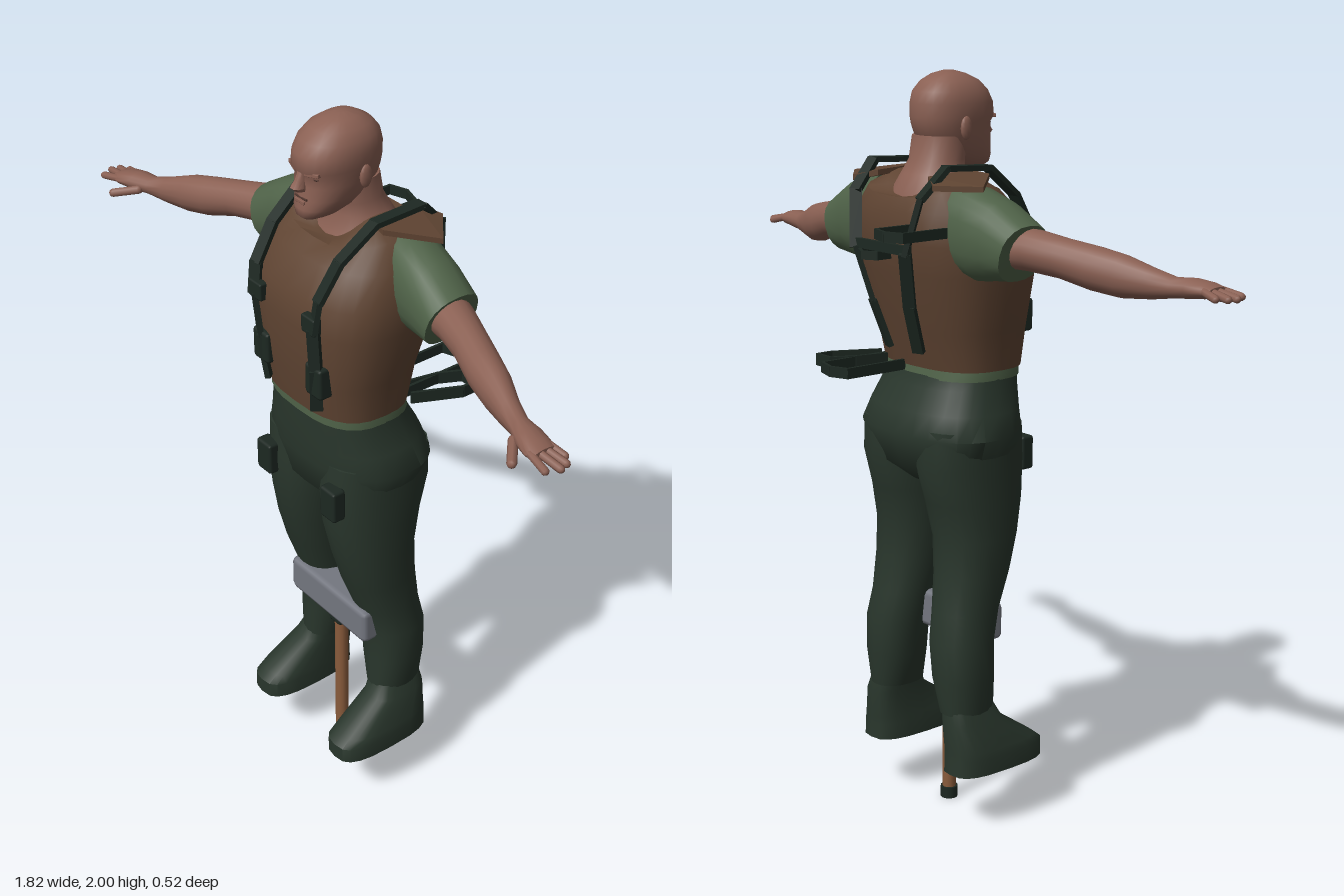
import * as THREE from 'three';
import { toCreasedNormals } from 'three/addons/utils/BufferGeometryUtils.js';
import { RoundedBoxGeometry } from 'three/addons/geometries/RoundedBoxGeometry.js';
import { ConvexGeometry } from 'three/addons/geometries/ConvexGeometry.js';

const material = (name, color) => {
  const m = new THREE.MeshStandardMaterial({ color });
  m.name = name;
  return m;
};

// Skins rings [t, a0, a1, b0, b1, shift]. Axis 'y': t=y, a=x, b=z. Axis 'x': t=x, a=z, b=y.
// shift lowers front and back of a 'y' ring, or slants an 'x' ring.
function loft(rings, { axis = 'y', side = 1, power = 2.3, segs = 20, crease = 0.8 } = {}) {
  const pos = [], index = [];
  const tri = (a, b, c) => (side > 0 ? index.push(a, b, c) : index.push(a, c, b));
  const put = (t, a, b) => (axis === 'y' ? pos.push(a * side, t, b) : pos.push(t * side, b, a));
  const round = (v) => Math.sign(v) * Math.pow(Math.abs(v), 2 / power);
  for (const [t, a0, a1, b0, b1, shift = 0] of rings) {
    for (let j = 0; j < segs; j++) {
      const th = (j / segs) * Math.PI * 2, c = Math.cos(th), s = Math.sin(th);
      const move = axis === 'y' ? -shift * s * s : shift * s;
      put(t + move, (a0 + a1) / 2 + ((a1 - a0) / 2) * round(c), (b0 + b1) / 2 + ((b1 - b0) / 2) * round(s));
    }
  }
  const last = rings.length - 1;
  for (let i = 0; i < last; i++) {
    for (let j = 0; j < segs; j++) {
      const a = i * segs + j, b = i * segs + ((j + 1) % segs);
      tri(a, a + segs, b);
      tri(b, a + segs, b + segs);
    }
  }
  for (const i of [0, last]) {
    const [t, a0, a1, b0, b1, shift = 0] = rings[i];
    put(axis === 'y' ? t - shift / 2 : t, (a0 + a1) / 2, (b0 + b1) / 2);
    const mid = pos.length / 3 - 1;
    for (let j = 0; j < segs; j++) {
      const a = i * segs + j, b = i * segs + ((j + 1) % segs);
      if (i === 0) tri(mid, a, b); else tri(mid, b, a);
    }
  }
  const geo = new THREE.BufferGeometry();
  geo.setAttribute('position', new THREE.Float32BufferAttribute(pos, 3));
  geo.setIndex(index);
  return toCreasedNormals(geo, crease);
}

export function createModel() {
  const root = new THREE.Group();
  root.name = 'workman';
  const skin = material('skin', 0x8a6053);
  const face = material('face shadow', 0x523830);
  const leather = material('brown vest', 0x5f4432);
  const shirt = material('green shirt', 0x4f6248);
  const cloth = material('dark green trousers', 0x29362c);
  const web = material('webbing', 0x1d2822);
  const steel = material('steel', 0x747780);
  const wood = material('wood', 0x8a5c3c);

  const add = (name, geo, mat, p = [0, 0, 0], parent = root) => {
    const m = new THREE.Mesh(geo, mat);
    m.name = name;
    m.position.set(...p);
    parent.add(m);
    return m;
  };
  const box = (w, h, d) => new RoundedBoxGeometry(w, h, d, 1, Math.min(w, h, d) * 0.2);

  // Flat bars joined along a list of points
  const strap = (name, pts, w, t) => {
    const group = new THREE.Group();
    group.name = name;
    root.add(group);
    pts.slice(1).forEach((p, i) => {
      const a = new THREE.Vector3(...pts[i]), b = new THREE.Vector3(...p);
      const m = add('strapPiece', new THREE.BoxGeometry(w, t, a.distanceTo(b) + 0.006), web,
        a.clone().add(b).multiplyScalar(0.5).toArray(), group);
      m.lookAt(b);
    });
  };

  // Tapered finger between two points
  const rod = (name, a, b, r) => {
    const A = new THREE.Vector3(...a), B = new THREE.Vector3(...b);
    const m = add(name, new THREE.CapsuleGeometry(r, A.distanceTo(B), 3, 8), skin,
      A.clone().add(B).multiplyScalar(0.5).toArray());
    m.quaternion.setFromUnitVectors(new THREE.Vector3(0, 1, 0), B.sub(A).normalize());
  };

  // Vest, belt and hips
  add('vest', loft([
    [1.25, -0.195, 0.195, -0.05, 0.222], [1.35, -0.203, 0.203, -0.075, 0.238],
    [1.5, -0.236, 0.236, -0.115, 0.25], [1.58, -0.235, 0.235, -0.128, 0.242],
    [1.66, -0.215, 0.215, -0.13, 0.195], [1.72, -0.175, 0.175, -0.115, 0.155, 0.025],
    [1.755, -0.11, 0.11, -0.085, 0.125, 0.065],
  ], { power: 2.7, segs: 28 }), leather);
  add('belt', loft([[1.225, -0.192, 0.192, -0.052, 0.217], [1.252, -0.19, 0.19, -0.048, 0.217]],
    { power: 2.7, segs: 28 }), shirt);
  add('hips', loft([
    [0.94, -0.06, 0.06, -0.03, 0.14], [0.99, -0.2, 0.2, -0.09, 0.195], [1.08, -0.238, 0.238, -0.114, 0.21],
    [1.14, -0.215, 0.215, -0.095, 0.214], [1.2, -0.196, 0.196, -0.062, 0.216], [1.232, -0.191, 0.191, -0.052, 0.216],
  ], { power: 2.5, segs: 28 }), cloth);

  // Neck and head
  add('neck', loft([
    [1.64, -0.13, 0.13, -0.09, 0.14], [1.7, -0.11, 0.11, -0.08, 0.115], [1.745, -0.085, 0.085, -0.055, 0.095],
    [1.78, -0.072, 0.072, -0.035, 0.1], [1.84, -0.07, 0.07, -0.025, 0.11],
  ]), skin);
  add('head', loft([
    [1.755, -0.022, 0.022, 0.13, 0.185], [1.765, -0.042, 0.042, 0.08, 0.197], [1.785, -0.058, 0.058, 0.035, 0.198],
    [1.81, -0.07, 0.07, 0, 0.192], [1.845, -0.078, 0.078, -0.022, 0.19], [1.868, -0.081, 0.081, -0.03, 0.187],
    [1.885, -0.084, 0.084, -0.033, 0.199], [1.92, -0.085, 0.085, -0.033, 0.194], [1.95, -0.079, 0.079, -0.026, 0.178],
    [1.975, -0.062, 0.062, -0.005, 0.152], [1.992, -0.038, 0.038, 0.025, 0.115], [2, -0.012, 0.012, 0.055, 0.085],
  ], { segs: 24, crease: 1.2 }), skin);
  add('nose', loft([
    [1.832, -0.015, 0.015, 0.17, 0.207], [1.842, -0.018, 0.018, 0.17, 0.217],
    [1.86, -0.011, 0.011, 0.17, 0.205], [1.882, -0.009, 0.009, 0.17, 0.196],
  ], { segs: 10 }), skin);
  add('mouth', box(0.046, 0.006, 0.01), face, [0, 1.812, 0.187]);
  add('lowerLip', box(0.036, 0.009, 0.012), skin, [0, 1.803, 0.19]);

  for (const s of [1, -1]) {
    const side = s > 0 ? 'left' : 'right';

    // Face details
    const eye = add(side + 'Eye', new THREE.SphereGeometry(0.012, 10, 6), face, [s * 0.034, 1.868, 0.172]);
    eye.scale.set(1.1, 0.5, 0.6);
    const brow = add(side + 'Brow', box(0.042, 0.01, 0.018), skin, [s * 0.036, 1.882, 0.18]);
    brow.rotation.set(0, s * 0.3, s * 0.12);
    const ear = add(side + 'Ear', new THREE.SphereGeometry(0.03, 10, 8), skin, [s * 0.083, 1.86, 0.06]);
    ear.scale.set(0.28, 1, 0.6);

    // Arm, sleeve and hand
    add(side + 'Sleeve', loft([
      [0.15, -0.085, 0.075, 1.51, 1.735], [0.22, -0.085, 0.085, 1.495, 1.728, -0.01],
      [0.28, -0.075, 0.09, 1.5, 1.7, 0.01], [0.35, -0.065, 0.093, 1.505, 1.648, 0.025],
    ], { axis: 'x', side: s }), shirt);
    add(side + 'Arm', loft([
      [0.3, -0.04, 0.07, 1.535, 1.64], [0.38, -0.03, 0.082, 1.535, 1.64], [0.46, 0, 0.1, 1.525, 1.625],
      [0.54, 0.028, 0.128, 1.503, 1.612], [0.61, 0.055, 0.143, 1.493, 1.598], [0.68, 0.092, 0.157, 1.497, 1.573],
      [0.735, 0.115, 0.17, 1.505, 1.556], [0.78, 0.12, 0.195, 1.508, 1.558], [0.82, 0.128, 0.207, 1.512, 1.552],
      [0.845, 0.135, 0.205, 1.52, 1.543],
    ], { axis: 'x', side: s, segs: 16, power: 2, crease: 1.2 }), skin);
    [[0.87, 0.133, 0.141], [0.893, 0.15, 0.159], [0.9, 0.173, 0.178], [0.885, 0.205, 0.196]].forEach(([x, z, z0], i) =>
      rod(side + 'Finger' + (i + 1), [s * 0.825, 1.533, z0], [s * x, 1.522, z], 0.01));
    rod(side + 'Thumb', [s * 0.755, 1.522, 0.18], [s * 0.805, 1.508, 0.228], 0.012);

    // Leg and boot
    add(side + 'TrouserLeg', loft([
      [0.325, 0.09, 0.205, -0.062, 0.09], [0.42, 0.065, 0.216, -0.074, 0.09], [0.52, 0.054, 0.215, -0.077, 0.092],
      [0.6, 0.045, 0.207, -0.062, 0.115], [0.7, 0.032, 0.212, -0.05, 0.152], [0.8, 0.02, 0.215, -0.048, 0.18],
      [0.9, 0.006, 0.215, -0.07, 0.2], [1, 0, 0.216, -0.1, 0.206], [1.1, 0.01, 0.215, -0.095, 0.2],
    ], { side: s }), cloth);
    add(side + 'Boot', loft([
      [0.16, 0.102, 0.24, -0.062, 0.24], [0.205, 0.102, 0.24, -0.06, 0.24], [0.225, 0.104, 0.236, -0.06, 0.215],
      [0.3, 0.108, 0.215, -0.062, 0.105], [0.35, 0.105, 0.195, -0.055, 0.08],
    ], { side: s, power: 3 }), cloth);

    // Shoulder flap of the vest
    const flap = [[0.1, 1.757, 0.06], [0.16, 1.752, 0.07], [0.257, 1.735, -0.035], [0.16, 1.735, -0.115], [0.1, 1.75, -0.08]];
    add(side + 'ShoulderFlap', new ConvexGeometry(flap.flatMap(([x, y, z]) =>
      [new THREE.Vector3(s * x, y, z), new THREE.Vector3(s * x, y - 0.014, z)])), leather);

    // Braces over the shoulder with their pouches
    strap(side + 'Brace', [
      [0.1, 1.28, 0.228], [0.115, 1.4, 0.24], [0.12, 1.52, 0.25], [0.125, 1.6, 0.238], [0.132, 1.69, 0.18],
      [0.142, 1.765, 0.08], [0.145, 1.772, -0.06], [0.13, 1.7, -0.13], [0.1, 1.56, -0.155], [0.075, 1.42, -0.12],
      [0.06, 1.3, -0.078],
    ].map(([x, y, z]) => [s * x, y, z]), 0.032, 0.014);
    add(side + 'ChestPouch', box(0.052, 0.048, 0.025), web, [s * 0.108, 1.535, 0.247]);
    add(side + 'LowerPouch', box(0.064, 0.088, 0.045), web, [s * 0.108, 1.37, 0.225]);
    add(side + 'ThighPocket', box(0.06, 0.092, 0.04), web, [s * 0.137, 1.005, 0.21]);
  }

  // Stiff webbing loops on the back and waist
  strap('backCrossStrap', [[-0.11, 1.57, -0.15], [0.11, 1.57, -0.15]], 0.012, 0.025);
  strap('upperBackLoop', [[-0.19, 1.62, -0.1], [-0.19, 1.62, -0.235], [-0.14, 1.62, -0.252],
    [-0.085, 1.62, -0.235], [-0.085, 1.62, -0.12]], 0.008, 0.026);
  strap('middleBackLoop', [[0, 1.548, -0.11], [0, 1.548, -0.165], [0.035, 1.548, -0.185],
    [0.07, 1.548, -0.165], [0.07, 1.548, -0.11]], 0.008, 0.022);
  strap('waistLoop', [[0.035, 1.248, -0.04], [0.035, 1.248, -0.235], [0.085, 1.248, -0.252],
    [0.14, 1.248, -0.235], [0.14, 1.248, -0.03]], 0.008, 0.028);
  strap('sideWaistLoop', [[0.12, 1.248, -0.04], [0.14, 1.248, -0.13], [0.17, 1.248, -0.188],
    [0.228, 1.248, -0.186], [0.228, 1.248, -0.14], [0.17, 1.248, -0.02]], 0.008, 0.032);

  // Sledgehammer standing on its handle
  const z = 0.08;
  add('hammerHandle', new THREE.CylinderGeometry(0.019, 0.019, 0.47, 12), wood, [0, 0.26, z]);
  add('handleCap', new THREE.CylinderGeometry(0.024, 0.024, 0.032, 12), web, [0, 0.016, z]);
  add('hammerCollar', box(0.052, 0.042, 0.052), web, [0, 0.482, z]);
  add('hammerHead', new RoundedBoxGeometry(0.33, 0.104, 0.1, 1, 0.016), steel, [0, 0.553, z]);
  return root;
}
